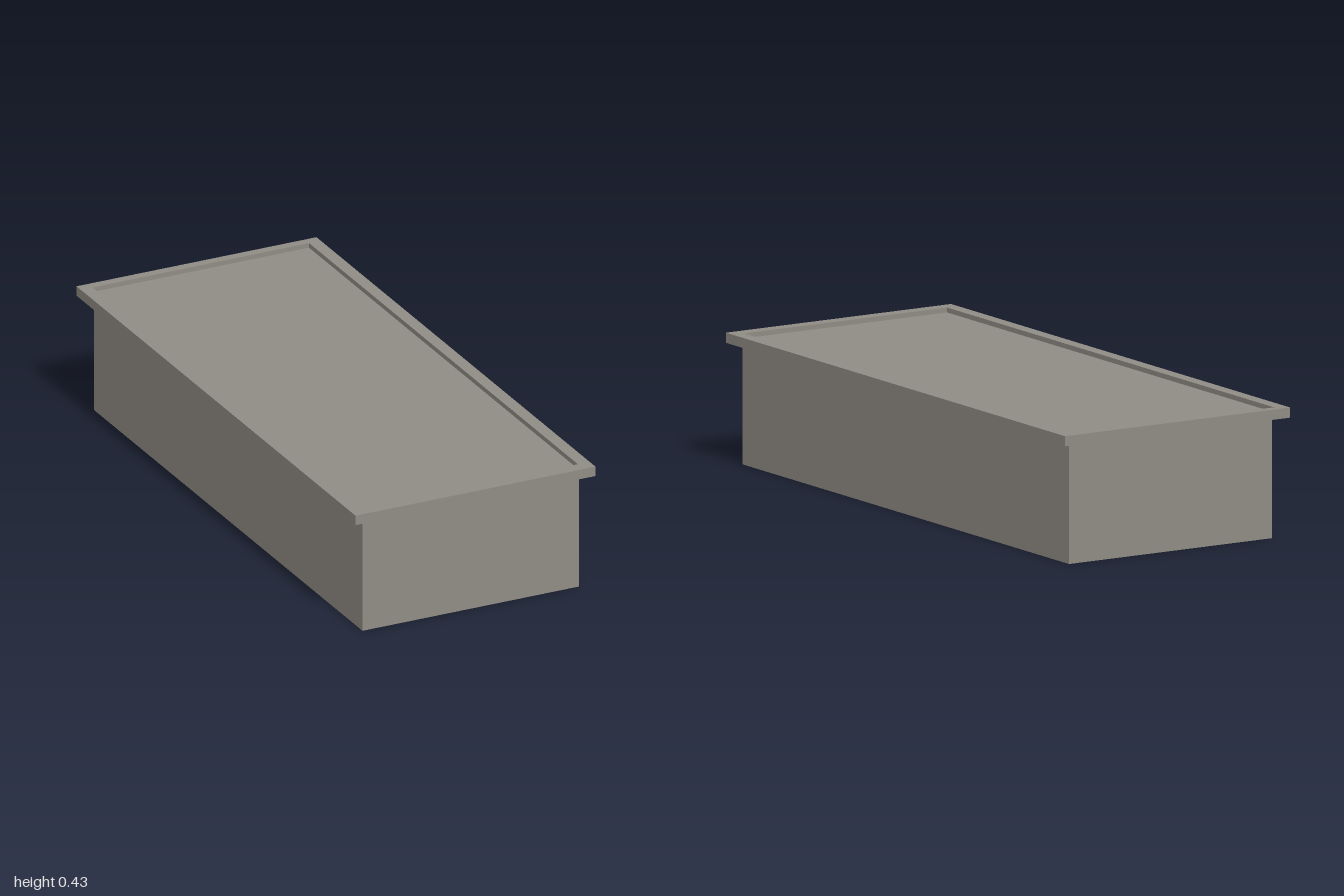
import * as THREE from 'three';

const RIM_BOTTOM = 0.395, RIM_TOP = 0.428;

function rectangle(Path, x0, x1, y0, y1) {
  const p = new Path();
  p.moveTo(x0, y0);
  p.lineTo(x1, y0);
  p.lineTo(x1, y1);
  p.lineTo(x0, y1);
  p.closePath();
  return p;
}

export function createModel() {
  const group = new THREE.Group();
  const stone = new THREE.MeshStandardMaterial({ color: 0x908c85, side: THREE.DoubleSide });
  stone.name = 'warm grey';

  const add = (name, geometry, x, y, z, turn = 0) => {
    const mesh = new THREE.Mesh(geometry, stone);
    mesh.name = name;
    mesh.position.set(x, y, z);
    mesh.rotation.y = turn;
    group.add(mesh);
  };

  // Thin walls, open at the bottom
  const left = 0.389, right = -0.385, depth = 0.962, mid = RIM_BOTTOM / 2;
  const across = new THREE.PlaneGeometry(left - right, RIM_BOTTOM);
  const along = new THREE.PlaneGeometry(depth * 2, RIM_BOTTOM);
  const centre = (left + right) / 2;
  add('frontWall', across, centre, mid, depth);
  add('backWall', across, centre, mid, -depth, Math.PI);
  add('leftWall', along, left, mid, 0, Math.PI / 2);
  add('rightWall', along, right, mid, 0, -Math.PI / 2);

  // Overhanging rim with a rectangular opening (shape y becomes -z)
  const hole = { x0: -0.387, x1: 0.387, y0: -0.958, y1: 0.969 };
  const outline = rectangle(THREE.Shape, -0.429, 0.429, -1, 1);
  outline.holes.push(rectangle(THREE.Path, hole.x0, hole.x1, hole.y0, hole.y1));
  const rim = new THREE.ExtrudeGeometry(outline, { depth: RIM_TOP - RIM_BOTTOM, bevelEnabled: false });
  rim.rotateX(-Math.PI / 2);
  add('rim', rim, 0, RIM_BOTTOM, 0);

  // Panel sunk a little below the rim
  const panel = new THREE.PlaneGeometry(hole.x1 - hole.x0, hole.y1 - hole.y0);
  panel.rotateX(-Math.PI / 2);
  add('topPanel', panel, 0, 0.412, -(hole.y0 + hole.y1) / 2);

  return group;
}
